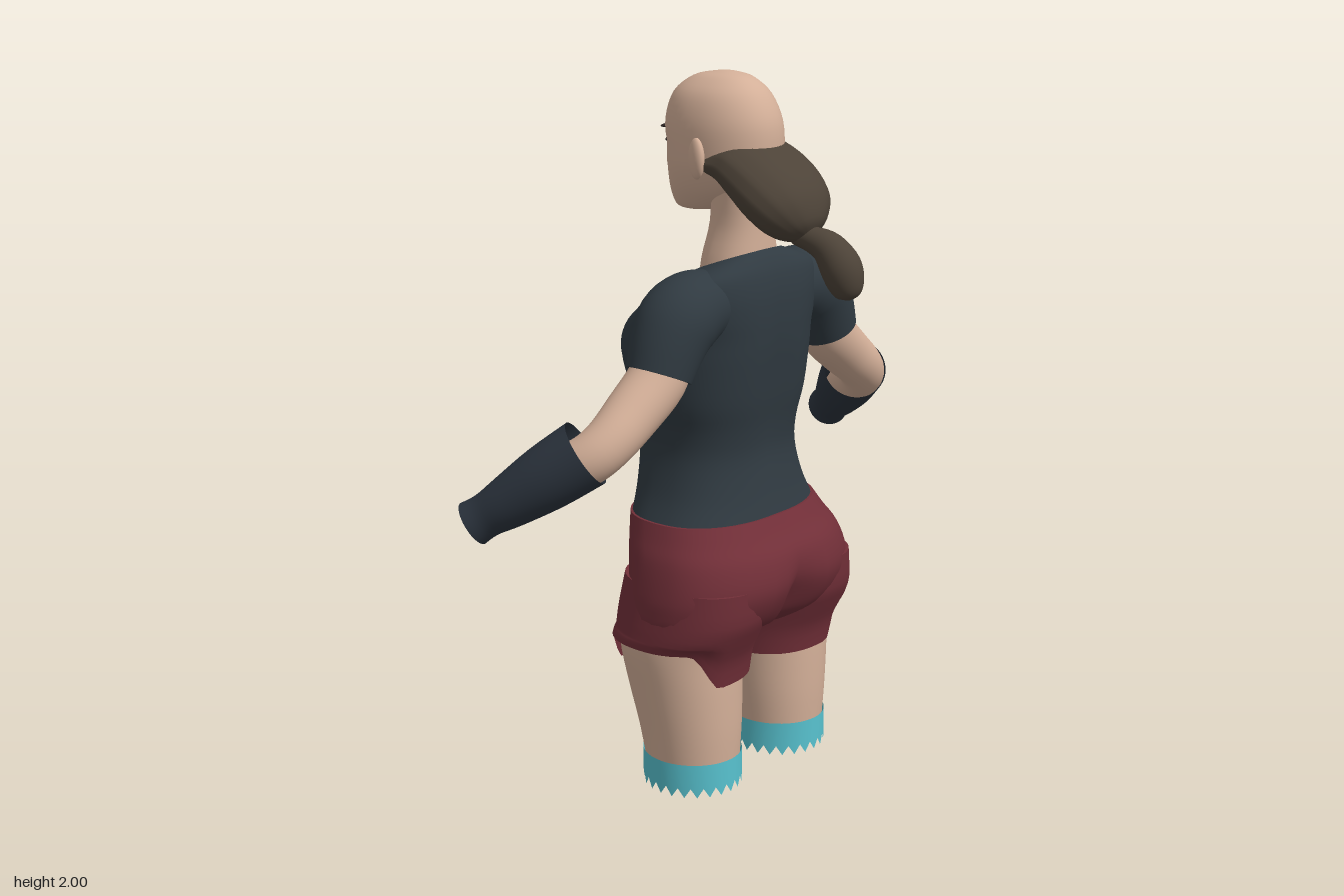
import * as THREE from 'three';

const mat = (name, color) => {
  const m = new THREE.MeshStandardMaterial({ color, side: THREE.DoubleSide });
  m.name = name;
  return m;
};
const smooth = THREE.MathUtils.smoothstep;
const bump = (d, w) => Math.exp(-(d * d) / (w * w));
const SEG = 48;

// Insert n smooth in-between rows for each pair of rows
function refine(rows, n = 4) {
  const out = [], at = i => rows[Math.min(Math.max(i, 0), rows.length - 1)];
  for (let i = 0; i < rows.length - 1; i++)
    for (let k = 0; k < n; k++) {
      const t = k / n;
      out.push(rows[i].map((b, c) => {
        const a = at(i - 1)[c], d = at(i + 1)[c], e = at(i + 2)[c];
        return b + 0.5 * t * (d - a + t * (2 * a - 5 * b + 4 * d - e + t * (3 * (b - d) + e - a)));
      }));
    }
  out.push(rows[rows.length - 1]);
  return out;
}

// Skin a list of closed rings, with optional end caps, facing outward
function skin(rings, capStart = true, capEnd = true) {
  const pos = [], idx = [], n = rings[0].length;
  rings.forEach(r => r.forEach(p => pos.push(p.x, p.y, p.z)));
  for (let i = 0; i < rings.length - 1; i++)
    for (let j = 0; j < n; j++) {
      const a = i * n + j, b = i * n + (j + 1) % n;
      idx.push(a, b, a + n, b, b + n, a + n);
    }
  const cap = (ring, flip) => {
    const base = pos.length / 3, c = new THREE.Vector3();
    ring.forEach(p => { pos.push(p.x, p.y, p.z); c.addScaledVector(p, 1 / n); });
    pos.push(c.x, c.y, c.z);
    for (let j = 0; j < n; j++) {
      const a = base + j, b = base + (j + 1) % n;
      if (flip) idx.push(b, a, base + n); else idx.push(a, b, base + n);
    }
  };
  if (capStart) cap(rings[0], true);
  if (capEnd) cap(rings[rings.length - 1], false);
  // Reverse the corners if the enclosed volume is negative
  const P = i => new THREE.Vector3().fromArray(pos, i * 3), mid = new THREE.Vector3();
  rings.forEach(r => mid.addScaledVector(r[0], 0.5 / rings.length).addScaledVector(r[n / 2], 0.5 / rings.length));
  let vol = 0;
  for (let i = 0; i < idx.length; i += 3)
    vol += P(idx[i]).sub(mid).dot(P(idx[i + 1]).sub(mid).cross(P(idx[i + 2]).sub(mid)));
  if (vol < 0) for (let i = 0; i < idx.length; i += 3) [idx[i], idx[i + 1]] = [idx[i + 1], idx[i]];
  const g = new THREE.BufferGeometry();
  g.setAttribute('position', new THREE.Float32BufferAttribute(pos, 3));
  g.setIndex(idx);
  g.computeVertexNormals();
  return g;
}

const loop = f => Array.from({ length: SEG }, (_, j) => f(j / SEG * Math.PI * 2, j));
const soft = (v, e) => Math.sign(v) * Math.abs(v) ** (2 / e);

// Horizontal rings: [y, centre x, half width, z of face side, z of rear side, optional drop at face side]
function body(rows, { exp = 2.3, s = 1, tweak, steps = 4, caps = [true, true] } = {}) {
  const full = rows.map(([y, cx, w, zf, zb, drop = 0]) => [y, cx, w, zf, zb, drop]);
  const rings = refine(full, steps).map(([y, cx, w, zf, zb, drop]) => loop((a, j) => {
    const c = soft(Math.cos(a), exp), d = soft(Math.sin(a), exp);
    const p = new THREE.Vector3(cx + w * c, y - drop * (1 - d) / 2, (zf + zb) / 2 + (zb - zf) / 2 * d);
    if (tweak) tweak(p, c, d, j, y);
    p.x *= s;
    return p;
  }));
  return skin(rings, ...caps);
}

// Round limb along a path: [x, y, z, radius]
function limb(rows, s = 1, caps = [true, true]) {
  const r = refine(rows), P = r.map(q => new THREE.Vector3(q[0], q[1], q[2]));
  const rings = r.map((q, i) => {
    const dir = P[Math.min(i + 1, P.length - 1)].clone().sub(P[Math.max(i - 1, 0)]).normalize();
    const u = new THREE.Vector3(1, 1, 0).cross(dir).normalize(), v = dir.clone().cross(u);
    return loop(a => {
      const p = P[i].clone().addScaledVector(u, q[3] * Math.cos(a)).addScaledVector(v, q[3] * Math.sin(a));
      p.x *= s;
      return p;
    });
  });
  return skin(rings, ...caps);
}

export function createModel() {
  const root = new THREE.Group();
  root.name = 'figure';
  const skinTone = mat('skin', 0xd3af98), shirt = mat('charcoal shirt', 0x303a41), guard = mat('navy guard', 0x2c343e);
  const red = mat('dark red', 0x712f38), brown = mat('brown hair', 0x4d4338), teal = mat('teal', 0x58c2cf);
  const dark = mat('lash black', 0x2a2220), lip = mat('lip', 0xb98879);
  const add = (name, geo, m) => {
    const o = new THREE.Mesh(geo, m);
    o.name = name;
    root.add(o);
    return o;
  };
  const blob = (name, m, p, size, ry = 0, rz = 0) => {
    const o = add(name, new THREE.SphereGeometry(1, 24, 16), m);
    o.position.set(...p);
    o.scale.set(...size);
    o.rotation.set(0, ry, rz);
  };

  // Head with eye sockets, and neck
  add('head', body([
    [1.612, 0, .015, -.22, -.17], [1.622, 0, .05, -.243, -.11], [1.65, 0, .08, -.253, -.03], [1.69, 0, .108, -.256, .045],
    [1.74, 0, .127, -.255, .082], [1.79, 0, .132, -.257, .09], [1.87, 0, .13, -.26, .085], [1.94, 0, .108, -.235, .052],
    [1.982, 0, .066, -.18, .005], [1.996, 0, .03, -.12, -.04], [2, 0, .004, -.085, -.075],
  ], { exp: 2.15, tweak: (p, c, d) => {
    if (d < 0) p.z += .013 * bump(Math.abs(p.x) - .05, .03) * bump(p.y - 1.803, .022);
  } }), skinTone);
  add('neck', body([[1.42, 0, .12, -.13, .06], [1.5, 0, .108, -.125, .06], [1.6, 0, .085, -.106, .057], [1.72, 0, .085, -.1, .06]]), skinTone);
  blob('noseBridge', skinTone, [0, 1.765, -.255], [.016, .04, .02]);
  blob('noseTip', skinTone, [0, 1.737, -.266], [.025, .015, .023]);
  blob('upperLip', lip, [0, 1.691, -.254], [.034, .008, .012]);
  blob('lowerLip', lip, [0, 1.678, -.252], [.028, .009, .013]);
  blob('chin', skinTone, [0, 1.643, -.235], [.035, .022, .02]);
  for (const s of [1, -1]) {
    blob('ear', skinTone, [s * .135, 1.778, -.068], [.018, .056, .032], s * .35);
    blob('eye', dark, [s * .054, 1.806, -.238], [.027, .007, .006], -s * .35, s * .08);
    blob('eyebrow', dark, [s * .056, 1.842, -.25], [.034, .005, .005], -s * .35, s * .08);
  }

  // Swept-back hair: [upper y, upper z, lower y, lower z, half width]
  const hairRows = refine([
    [1.79, -.075, 1.73, -.07, .135], [1.823, 0, 1.7, -.02, .14], [1.825, .05, 1.655, .03, .148],
    [1.78, .14, 1.605, .085, .15], [1.71, .212, 1.575, .13, .125], [1.64, .235, 1.565, .165, .075], [1.6, .225, 1.57, .19, .03],
  ]);
  add('hair', skin(hairRows.map(([yu, zu, yl, zl, w]) => loop(a => {
    const k = (1 + Math.sin(a)) / 2, strand = 1 + .012 * Math.cos(a * 12);
    return new THREE.Vector3(w * soft(Math.cos(a), 2.4) * strand, yl + (yu - yl) * k, zl + (zu - zl) * k);
  }))), brown);
  add('ponytail', limb([
    [0, 1.585, .17, .03], [.005, 1.575, .22, .036], [.015, 1.555, .265, .047], [.025, 1.51, .298, .056],
    [.03, 1.465, .312, .05], [.032, 1.432, .318, .033], [.032, 1.42, .32, .006],
  ]), brown);

  // Shirt torso, with the chest parted down the middle
  add('shirtTorso', body([
    [.775, 0, .285, -.3, .108], [.85, 0, .25, -.302, .09], [.95, 0, .226, -.304, .075], [1.03, 0, .228, -.308, .082],
    [1.12, 0, .25, -.325, .1], [1.23, 0, .263, -.357, .115], [1.3, 0, .264, -.34, .12], [1.36, 0, .27, -.275, .12],
    [1.42, 0, .27, -.215, .115, .01], [1.475, 0, .25, -.165, .102, .035], [1.51, 0, .19, -.14, .082, .06], [1.53, 0, .125, -.125, .062, .07],
  ], { exp: 2.4, tweak: (p, c, d, j, y) => {
    if (d < 0) p.z += .034 * bump(p.x, .06) * bump(y - 1.23, .09);
    else p.z -= .015 * bump(p.x, .05) * bump(y - 1.15, .25);
  } }), shirt);

  // Shorts seat, with a soft cleft at the rear
  add('shortsSeat', body([
    [.42, 0, .12, -.14, .02], [.46, 0, .28, -.22, .1], [.5, 0, .355, -.25, .155], [.56, 0, .362, -.265, .192], [.62, 0, .352, -.275, .204],
    [.69, 0, .332, -.287, .185], [.74, 0, .308, -.297, .145], [.785, 0, .288, -.304, .112],
  ], { exp: 2.4, tweak: (p, c, d, j, y) => {
    if (d > 0) p.z -= .05 * bump(p.x, .04) * bump(y - .54, .1);
    else p.z += .03 * bump(p.x, .05) * bump(y - .48, .1);
  } }), red);

  for (const s of [1, -1]) {
    // Shorts leg, its hem raised on the outer side
    add('shortsLeg', body([
      [.33, .19, .183, -.277, .098], [.4, .19, .184, -.272, .112], [.47, .189, .183, -.266, .145],
      [.53, .185, .177, -.264, .17], [.62, .18, .165, -.25, .175],
    ], { s, steps: 3, caps: [false, true], tweak: (p, c, d, j, y) => {
      const lift = .11 * smooth(c, .25, .72);
      if (y < .47) p.y = .33 + lift + (y - .33) * (.14 - lift) / .14;
    } }), red);
    add('leg', body([
      [.075, .188, .128, -.185, .085], [.18, .189, .14, -.205, .09], [.3, .191, .155, -.235, .09],
      [.42, .19, .172, -.257, .088], [.5, .188, .17, -.25, .1],
    ], { s, exp: 2.1 }), skinTone);
    // Band with a saw-toothed lower edge
    add('legBand', body([[.025, .188, .136, -.196, .094], [.1, .188, .136, -.196, .094]], {
      s, exp: 2, steps: 1, caps: [false, false], tweak: (p, c, d, j, y) => { if (y < .05) p.y = j % 2 ? .028 : 0; },
    }), teal);

    // Sleeve, bare arm and forearm guard
    add('sleeve', limb([
      [.16, 1.395, -.01, .095], [.225, 1.39, -.01, .106], [.28, 1.365, -.01, .11], [.32, 1.31, -.01, .102], [.355, 1.235, -.01, .09],
    ], s), shirt);
    add('arm', limb([
      [.31, 1.31, -.01, .075], [.36, 1.225, -.012, .08], [.45, 1.15, -.018, .076], [.53, 1.09, -.025, .07],
      [.585, 1.045, -.055, .068], [.64, .99, -.14, .066], [.735, .885, -.28, .05],
    ], s), skinTone);
    add('forearmGuard', limb([
      [.575, 1.06, -.07, .094], [.64, .992, -.15, .088], [.7, .925, -.23, .072], [.735, .885, -.282, .06], [.757, .86, -.314, .063],
    ], s, [false, false]), guard);
  }
  return root;
}
